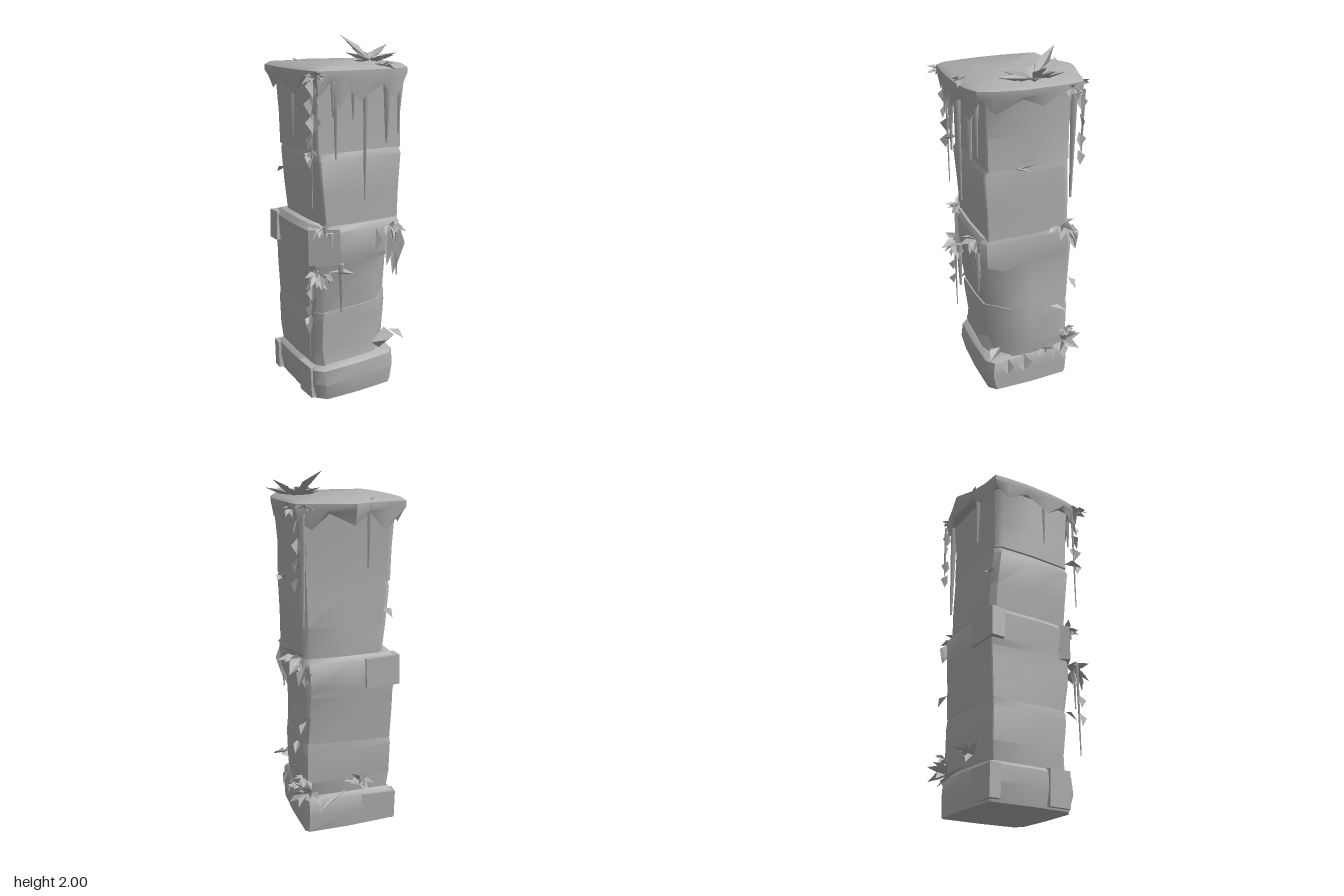
import * as THREE from 'three';
import { mergeGeometries, toCreasedNormals } from 'three/addons/utils/BufferGeometryUtils.js';

const stone = new THREE.MeshStandardMaterial({ color: 0xb0b0b0, side: THREE.DoubleSide });
stone.name = 'stone grey';

let seed = 7;
const rand = (a = 0, b = 1) => {
  seed = (seed * 16807) % 2147483647;
  return a + (b - a) * (seed / 2147483647);
};

// Surface through closed rings of [x, y, z] points, optionally closed at the bottom
function loft(rings, bottom = true, crease = 0.75) {
  const n = rings[0].length, pos = rings.flat(2), idx = [];
  for (let r = 0; r < rings.length - 1; r++) {
    for (let i = 0; i < n; i++) {
      const a = r * n + i, b = r * n + (i + 1) % n;
      idx.push(a, a + n, b, b, a + n, b + n);
    }
  }
  const close = (r, up) => {
    const c = pos.length / 3;
    for (let k = 0; k < 3; k++) pos.push(rings[r].reduce((s, p) => s + p[k] / n, 0));
    for (let i = 0; i < n; i++) {
      const a = r * n + i, b = r * n + (i + 1) % n;
      if (up) idx.push(c, b, a); else idx.push(c, a, b);
    }
  };
  if (bottom) close(0, false);
  close(rings.length - 1, true);
  const g = new THREE.BufferGeometry();
  g.setAttribute('position', new THREE.Float32BufferAttribute(pos, 3));
  g.setIndex(idx);
  return toCreasedNormals(g, crease);
}

// Four-sided ring with bowed sides; cuts trim the back left, front left, front right, back right corners
function blockRing(y, x0, x1, z0, z1, cuts, tilt = 0) {
  const c = [[x1, z0], [x1, z1], [x0, z1], [x0, z0]], out = [];
  for (let i = 0; i < 4; i++) {
    const p = c[i], prev = c[(i + 3) % 4], next = c[(i + 1) % 4];
    const toward = (q) => {
      const l = Math.hypot(q[0] - p[0], q[1] - p[1]);
      return [p[0] + (q[0] - p[0]) * cuts[i] / l, p[1] + (q[1] - p[1]) * cuts[i] / l];
    };
    const mid = [(p[0] + next[0]) / 2 * 1.03, (p[1] + next[1]) / 2 * 1.03];
    for (const q of [toward(prev), toward(next), mid]) out.push([q[0], y + tilt * q[0], q[1]]);
  }
  return out;
}

// Folded pointed leaf along +z, drooping at its tip
function leafGeometry(len, width, droop) {
  const w = width / 2, g = new THREE.BufferGeometry();
  g.setAttribute('position', new THREE.Float32BufferAttribute([
    0, 0, 0, -w, 0.25 * w, len * 0.5, 0, -0.35 * w, len * 0.5, w, 0.25 * w, len * 0.5, 0, -droop, len], 3));
  g.setIndex([0, 2, 1, 0, 3, 2, 1, 2, 4, 2, 3, 4]);
  return toCreasedNormals(g, 0.5);
}
function leaf(p, yaw, pitch, len, width, droop = 0.02, roll = 0) {
  const m = new THREE.Matrix4().makeRotationFromEuler(new THREE.Euler(-pitch, yaw, roll, 'YXZ'));
  return leafGeometry(len, width, droop).applyMatrix4(m.setPosition(...p));
}

// Rosette of leaves fanned about a facing direction
function plant(p, n, size, yaw = 0, spread = Math.PI, low = -0.6, high = 0.9) {
  const leaves = [];
  for (let i = 0; i < n; i++) {
    const a = yaw + spread * (2 * (i + rand(0, 0.6)) / n - 1);
    leaves.push(leaf(p, a, rand(low, high), size * rand(0.65, 1.1), size * rand(0.4, 0.6), size * 0.2, rand(-0.6, 0.6)));
  }
  return mergeGeometries(leaves);
}

// Slightly tapering three-sided hanging root
function hangingRoot(x, z, top, bottom, r) {
  const g = new THREE.CylinderGeometry(r, r * 0.35, top - bottom, 3);
  return g.translate(x, (top + bottom) / 2, z).toNonIndexed();
}

export function createModel() {
  const model = new THREE.Group();
  const add = (name, g) => {
    const m = new THREE.Mesh(g, stone);
    m.name = name;
    model.add(m);
  };

  // Stacked worn column blocks: rings of y, x range, z range, corner cuts, tilt
  const worn = [0.02, 0.12, 0.04, 0.005], wide = [0.03, 0.03, 0.08, 0.005];
  const base = [0.02, 0.04, 0.05, 0.01], sharp = [0.03, 0.008, 0.008, 0.03];
  const blocks = {
    baseBlock: [[0, -0.25, 0.25, -0.27, 0.23, base], [0.1, -0.27, 0.25, -0.275, 0.25, base],
      [0.19, -0.27, 0.25, -0.27, 0.24, base, 0.03], [0.215, -0.24, 0.23, -0.25, 0.21, base, 0.03]],
    lowerBlock: [[0.2, -0.245, 0.24, -0.25, 0.21, worn], [0.3, -0.255, 0.255, -0.26, 0.2, worn],
      [0.48, -0.26, 0.255, -0.26, 0.22, worn], [0.54, -0.255, 0.25, -0.255, 0.22, worn, 0.05]],
    middleBlock: [[0.53, -0.255, 0.25, -0.26, 0.21, worn, 0.05], [0.7, -0.26, 0.24, -0.27, 0.24, worn],
      [0.81, -0.26, 0.24, -0.275, 0.25, worn], [0.85, -0.265, 0.245, -0.28, 0.265, wide],
      [1.0, -0.275, 0.255, -0.28, 0.27, wide], [1.03, -0.25, 0.245, -0.255, 0.25, wide]],
    upperBlock: [[1.02, -0.21, 0.25, -0.25, 0.235, sharp], [1.2, -0.23, 0.25, -0.25, 0.24, sharp],
      [1.39, -0.25, 0.255, -0.24, 0.25, sharp], [1.425, -0.24, 0.25, -0.24, 0.235, sharp]],
    topBlock: [[1.42, -0.255, 0.26, -0.24, 0.235, sharp], [1.6, -0.26, 0.255, -0.24, 0.235, sharp],
      [1.8, -0.27, 0.27, -0.25, 0.245, sharp]],
  };
  for (const [name, rings] of Object.entries(blocks)) add(name, loft(rings.map((r) => blockRing(...r))));

  // Broken slabs bulging from the faces
  const slab = (name, x, y, z, w, h, d, ry, rz) =>
    add(name, new THREE.BoxGeometry(w, h, d).rotateZ(rz).rotateY(ry).translate(x, y, z));
  slab('baseCornerSlab', -0.24, 0.105, 0.12, 0.09, 0.19, 0.13, 0.05, 0.04);
  slab('frontSlab', -0.21, 0.92, 0.22, 0.17, 0.2, 0.06, -0.5, 0.01);
  slab('backSlab', -0.19, 0.93, -0.255, 0.2, 0.17, 0.08, 0.05, -0.03);
  slab('baseBackSlab', -0.185, 0.1, -0.255, 0.2, 0.17, 0.06, -0.06, 0.02);

  // Moss cap: worn outline of x, z and the depth its ragged skirt hangs to
  const outline = [[0.29, -0.28, 1.76], [0.31, -0.18, 1.82], [0.315, -0.06, 1.75], [0.32, 0.06, 1.8],
    [0.295, 0.2, 1.73], [0.26, 0.28, 1.79], [0.19, 0.31, 1.68], [0.1, 0.325, 1.77], [0.02, 0.33, 1.74],
    [-0.05, 0.328, 1.69], [-0.12, 0.325, 1.76], [-0.17, 0.322, 1.66], [-0.23, 0.315, 1.79], [-0.295, 0.31, 1.72],
    [-0.315, 0.2, 1.8], [-0.325, 0.08, 1.72], [-0.325, -0.08, 1.79], [-0.315, -0.2, 1.73], [-0.305, -0.285, 1.79],
    [-0.2, -0.295, 1.7], [-0.1, -0.32, 1.8], [0, -0.372, 1.74], [0.13, -0.33, 1.8], [0.22, -0.305, 1.72]];
  const capRing = (y, s) => outline.map(([x, z]) => [x * s, y, z * s]);
  const skirt = outline.map(([x, z, low]) => [x * 0.95, low, z * 0.95]);
  add('mossCap', loft([skirt, capRing(1.82, 1), capRing(1.85, 1), capRing(1.868, 0.92)], false));

  // Large flower on top: yaw, pitch, length
  add('topFlower', mergeGeometries([
    [-1.02, 0.05, 0.19], [-0.1, 0.1, 0.18], [0.4, 0.2, 0.16], [1.25, 0.25, 0.16], [2.2, 0.4, 0.14],
    [2.8, 0.2, 0.17], [-3.0, 0.35, 0.17], [-2.6, 0.62, 0.23], [-2.05, 0.3, 0.14], [1.7, 0.6, 0.15],
  ].map(([yaw, pitch, len]) => leaf([0.22, 1.87, -0.03], yaw, pitch, len, 0.075, 0))));

  // Plants: x, y, z, leaf count, size, yaw, spread, lowest and highest pitch
  const plants = {
    rimPlant: [0.085, 1.865, 0.31, 9, 0.065],
    rimCornerPlant: [0.25, 1.83, -0.29, 8, 0.06],
    rimSidePlant: [0.29, 1.82, -0.22, 7, 0.07, 1.57, 1.4],
    rimLeftPlant: [-0.29, 1.82, 0.28, 8, 0.08, -0.8, 1.5, -1.2, 0.5],
    rimBackPlant: [-0.08, 1.84, -0.3, 6, 0.05],
    shoulderPlant: [0.25, 1.03, -0.2, 13, 0.12, 1.9, 1.6, -0.8, 0.7],
    shoulderHangingPlant: [0.24, 1.0, -0.26, 6, 0.12, 2.4, 0.9, -1.5, -0.8],
    shoulderFrontPlant: [-0.23, 1.02, 0.24, 8, 0.075, -0.6, 1.5],
    frontPlant: [0.17, 1.0, 0.27, 8, 0.1, 0.2, 1.5, -1.3, 0.5],
    leftPlant: [-0.25, 0.77, 0.24, 12, 0.11, -0.5, 1.6, -0.9, 0.5],
    footPlant: [0.23, 0.23, -0.24, 14, 0.12, 2.2, 1.6, -0.6, 1.2],
    footUpperPlant: [0.24, 0.32, -0.25, 7, 0.08, 2.2, 1.4, -0.8, 1.2],
    footSidePlant: [0.25, 0.21, -0.12, 7, 0.08, 1.57, 1.5],
    footBackPlant: [-0.07, 0.27, -0.26, 10, 0.1, 3.14, 1.4, -0.6, 1.0],
  };
  for (const [name, [x, y, z, ...rest]] of Object.entries(plants)) add(name, plant([x, y, z], ...rest));

  // Single leaves lying against the faces: position, yaw, pitch, length, width, droop, roll
  const single = [
    [[0.27, 0.28, 0.2], -1.3, 0.1, 0.2, 0.14, 0, 1.4], [[0.25, 0.31, 0.17], 0.6, -0.2, 0.1, 0.07],
    [[0.25, 0.21, 0.12], 1.3, -1.1, 0.1, 0.07], [[0.25, 0.22, 0.02], 1.5, -1.2, 0.12, 0.09],
    [[0.25, 1.42, 0.1], 2.5, 0.1, 0.11, 0.06], [[0.25, 1.4, 0.07], 2.6, 0.6, 0.11, 0.06],
    [[0.25, 0.52, -0.13], 2.7, -0.1, 0.12, 0.04], [[0.24, 0.68, -0.26], 2.2, -0.6, 0.08, 0.05],
    [[-0.27, 0.52, 0.18], -0.9, -0.5, 0.08, 0.05],
    [[-0.26, 1.44, 0.22], -0.9, -0.2, 0.11, 0.07], [[-0.2, 1.28, -0.23], 3.6, -0.3, 0.09, 0.06],
    [[0, 0.23, -0.26], 1.9, -0.3, 0.22, 0.04], [[-0.2, 0.78, 0.25], 1.2, 0, 0.15, 0.08]];
  // Leaves strung along the vines and long drooping leaves
  for (let y = 1.82; y > 1.4; y -= 0.09) single.push([[-0.29, y, 0.26], rand(-1.8, 0.2), -1.1, 0.1, 0.08]);
  for (let y = 1.78; y > 1.45; y -= 0.1) single.push([[0.28, y, -0.27], rand(1.5, 3), -1.1, 0.08, 0.06]);
  for (let y = 0.72; y > 0.45; y -= 0.1) single.push([[-0.3, y, 0.25], rand(-1.8, 0), -1.1, 0.08, 0.06]);
  for (const [x, y, l] of [[0.08, 1.0, 0.16], [0.16, 0.98, 0.22], [0.2, 0.92, 0.22], [0.23, 1.0, 0.24]])
    single.push([[x, y, 0.275], 0.1, -1.5, l, 0.07]);
  add('singleLeaves', mergeGeometries(single.map((s) => leaf(...s))));

  // Hanging roots: x, z, top, bottom, radius
  add('hangingRoots', mergeGeometries([
    [0, 0.29, 1.8, 1.17, 0.017], [-0.17, 0.28, 1.78, 1.4, 0.018], [0.14, 0.28, 1.78, 1.46, 0.025],
    [0.22, 0.27, 1.78, 1.5, 0.014], [-0.08, 0.3, 1.78, 1.6, 0.015], [-0.3, 0.26, 1.84, 1.15, 0.009],
    [0.25, -0.25, 1.8, 1.2, 0.022], [-0.2, 0.3, 1.8, 1.62, 0.014],
    [0.26, -0.3, 1.8, 1.46, 0.011], [-0.1, -0.28, 1.8, 1.5, 0.016],
    [-0.3, 0.05, 1.8, 1.5, 0.012], [-0.31, 0.24, 0.8, 0.28, 0.009], [-0.13, 0.27, 0.82, 0.54, 0.02],
    [-0.27, 0.25, 0.8, 0.55, 0.01], [0.22, 0.28, 0.95, 0.7, 0.014],
  ].map((r) => hangingRoot(...r))));

  return model;
}
